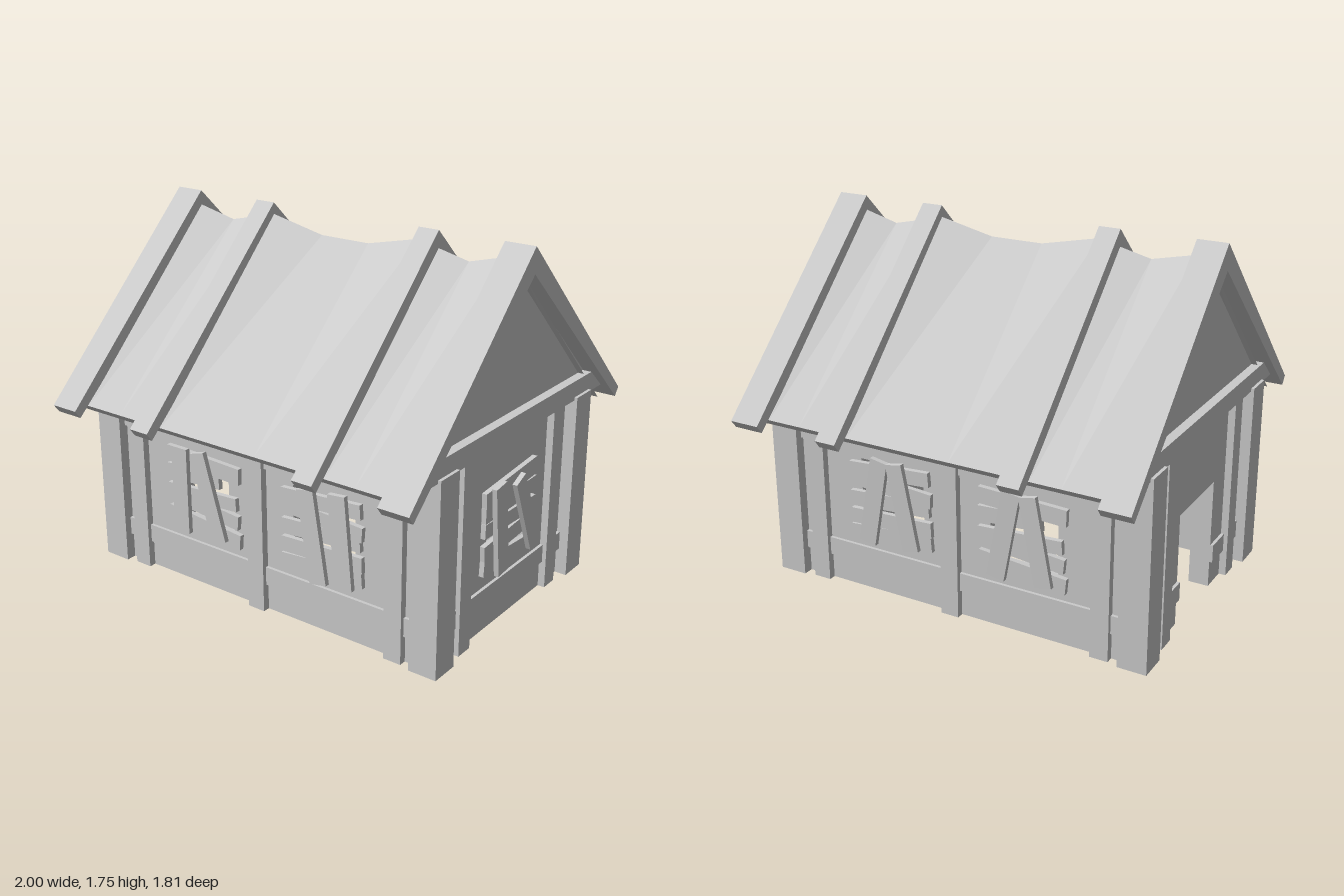
import * as THREE from 'three';

const mat = new THREE.MeshStandardMaterial({ color: 0xcccccc, flatShading: true });

function add(parent, name, geometry) {
  const m = new THREE.Mesh(geometry, mat);
  m.name = name;
  parent.add(m);
  return m;
}

// Box given by its limits on each axis
function block(parent, name, x0, x1, y0, y1, z0, z1) {
  const m = add(parent, name, new THREE.BoxGeometry(x1 - x0, y1 - y0, z1 - z0));
  m.position.set((x0 + x1) / 2, (y0 + y1) / 2, (z0 + z1) / 2);
  return m;
}

const polygon = pts => new THREE.Shape(pts.map(p => new THREE.Vector2(...p)));

function extrude(parent, name, shape, z0, z1) {
  const g = new THREE.ExtrudeGeometry(shape, { depth: z1 - z0, bevelEnabled: false });
  g.translate(0, 0, z0);
  return add(parent, name, g);
}

function cutWindow(shape, x) {
  const w = 0.17, y0 = 0.3, y1 = 0.67;
  shape.holes.push(new THREE.Path([[x - w, y0], [x - w, y1], [x + w, y1], [x + w, y0]]
    .map(p => new THREE.Vector2(...p))));
}

// Board running from one point to another, lying on the wall
function plank(parent, [x0, y0, x1, y1, w], z, tilt = 0) {
  const len = Math.hypot(x1 - x0, y1 - y0);
  const m = add(parent, 'plank', new THREE.BoxGeometry(len, w, 0.024));
  m.position.set((x0 + x1) / 2, (y0 + y1) / 2, z);
  m.rotation.set(0, tilt, Math.atan2(y1 - y0, x1 - x0));
}

// Five uneven boards across the window and two nailed over them
function boardedWindow(wall, x, z, slats, braces) {
  const g = new THREE.Group();
  g.name = 'boardedWindow';
  g.position.set(x, 0, z);
  slats.forEach(s => plank(g, s, 0.012));
  braces.forEach(b => plank(g, b, 0.038, 0.015));
  wall.add(g);
}

const slatsA = [
  [-0.22, 0.645, 0.22, 0.63, 0.08], [-0.22, 0.555, 0.1, 0.575, 0.075], [-0.22, 0.46, 0.2, 0.485, 0.065],
  [-0.22, 0.435, 0.21, 0.395, 0.07], [-0.22, 0.34, 0.22, 0.3, 0.075]];
const slatsB = [
  [-0.22, 0.62, 0.21, 0.65, 0.07], [-0.22, 0.575, 0.22, 0.545, 0.07], [-0.22, 0.47, 0.21, 0.5, 0.075],
  [-0.22, 0.38, 0.22, 0.4, 0.075], [-0.22, 0.295, 0.22, 0.33, 0.08]];
const slatsC = [
  [-0.22, 0.65, 0.22, 0.68, 0.085], [-0.22, 0.585, 0.22, 0.59, 0.075], [-0.22, 0.51, 0.22, 0.495, 0.07],
  [-0.22, 0.4, 0.22, 0.43, 0.075], [-0.22, 0.335, 0.22, 0.3, 0.085]];
const bracesA = [[-0.12, 0.7, -0.12, 0.27, 0.09], [-0.01, 0.7, 0.11, 0.28, 0.085]];
const bracesB = [[-0.07, 0.69, 0.0, 0.25, 0.09], [0.1, 0.71, 0.14, 0.27, 0.09]];
const bracesC = [[-0.14, 0.71, -0.09, 0.27, 0.09], [0.03, 0.68, 0.19, 0.3, 0.085]];
const bracesD = [[-0.04, 0.7, -0.12, 0.27, 0.09], [0.04, 0.7, 0.12, 0.28, 0.085]];

// Long wall, facing local +z
function longWall(name, left, right) {
  const g = new THREE.Group();
  g.name = name;
  const shape = polygon([[-0.9, 0], [0.9, 0], [0.9, 0.99], [-0.9, 0.99]]);
  cutWindow(shape, -0.335);
  cutWindow(shape, 0.355);
  extrude(g, 'wallPanel', shape, 0.5, 0.6);
  block(g, 'lowerRail', -0.85, 0.85, 0.13, 0.22, 0.59, 0.615);
  block(g, 'upperRail', -0.85, 0.85, 0.71, 0.8, 0.59, 0.615);
  for (const x of [-0.745, -0.015, 0.745]) block(g, 'wallPost', x - 0.045, x + 0.045, 0, 0.92, 0.59, 0.635);
  boardedWindow(g, -0.335, 0.6, ...left);
  boardedWindow(g, 0.355, 0.6, ...right);
  return g;
}

// Gable wall, facing local +z, with either a window or a doorway
function gableWall(name, hasDoor) {
  const g = new THREE.Group();
  g.name = name;
  const top = [[0.6, 0], [0.6, 0.91], [0.77, 0.91], [0, 1.63], [-0.77, 0.91], [-0.6, 0.91], [-0.6, 0]];
  const door = [[-0.2, 0], [-0.2, 0.55], [0.2, 0.55], [0.2, 0]];
  const shape = polygon(hasDoor ? [...top, ...door] : top);
  if (!hasDoor) cutWindow(shape, 0);
  extrude(g, 'gablePanel', shape, 0.82, 0.92);
  extrude(g, 'tieBeam', polygon([[-0.78, 0.905], [0.78, 0.905], [0.67, 1], [-0.67, 1]]), 0.9, 0.965);
  for (const s of [-1, 1]) {
    block(g, 'wallPost', s * 0.385 - 0.045, s * 0.385 + 0.045, 0, 0.92, 0.91, 0.955);
    if (hasDoor) block(g, 'lowerRail', s * 0.36 - 0.16, s * 0.36 + 0.16, 0.13, 0.22, 0.91, 0.935);
  }
  if (!hasDoor) {
    block(g, 'lowerRail', -0.52, 0.52, 0.13, 0.22, 0.91, 0.935);
    boardedWindow(g, 0, 0.92, slatsC, bracesC);
  }
  return g;
}

// Roof skin: the ridge sags between the rafters while the eaves stay straight
function roofSkin() {
  const ridge = [[-0.95, 1.69], [-0.855, 1.675], [-0.65, 1.63], [-0.5, 1.665], [-0.395, 1.69], [-0.11, 1.63],
    [0.15, 1.63], [0.42, 1.69], [0.525, 1.665], [0.68, 1.63], [0.85, 1.675], [0.95, 1.69]];
  const rings = ridge.map(([x, y]) => [
    [x, 0.868, 0.82], [x, y, 0], [x, 0.868, -0.82],
    [x, 0.835, -0.79], [x, y - 0.08, 0], [x, 0.835, 0.79]]);
  const pos = [];
  for (let i = 0; i < rings.length - 1; i++) {
    for (let j = 0; j < 6; j++) {
      const k = (j + 1) % 6;
      const a = rings[i][j], b = rings[i + 1][j], c = rings[i + 1][k], d = rings[i][k];
      pos.push(...a, ...b, ...c, ...a, ...c, ...d);
    }
  }
  const g = new THREE.BufferGeometry();
  g.setAttribute('position', new THREE.Float32BufferAttribute(pos, 3));
  g.computeVertexNormals();
  return g;
}

export function createModel() {
  const house = new THREE.Group();
  house.name = 'house';

  // Walls
  const front = longWall('frontWall', [slatsA, bracesA], [slatsB, bracesB]);
  const back = longWall('backWall', [slatsB, bracesD], [slatsA, bracesD]);
  back.rotation.y = Math.PI;
  const windowEnd = gableWall('leftGableWall', false);
  windowEnd.rotation.y = Math.PI / 2;
  const doorEnd = gableWall('rightGableWall', true);
  doorEnd.rotation.y = -Math.PI / 2;
  house.add(front, back, windowEnd, doorEnd);

  // Corner posts
  for (const sx of [-1, 1]) for (const sz of [-1, 1]) {
    block(house, 'cornerPost', sx * 0.91 - 0.07, sx * 0.91 + 0.07, 0, 0.92, sz * 0.58 - 0.07, sz * 0.58 + 0.07);
  }

  // Roof
  const roof = new THREE.Group();
  roof.name = 'roof';
  add(roof, 'roofSkin', roofSkin());
  const rafter = polygon([[0, 1.745], [-0.905, 0.865], [-0.875, 0.825], [0, 1.625], [0.875, 0.825], [0.905, 0.865]]);
  for (const [x0, x1] of [[-1, -0.855], [-0.5, -0.395], [0.42, 0.525], [0.85, 1]]) {
    extrude(roof, 'rafter', rafter, x0, x1).rotation.y = Math.PI / 2;
  }
  house.add(roof);
  return house;
}
